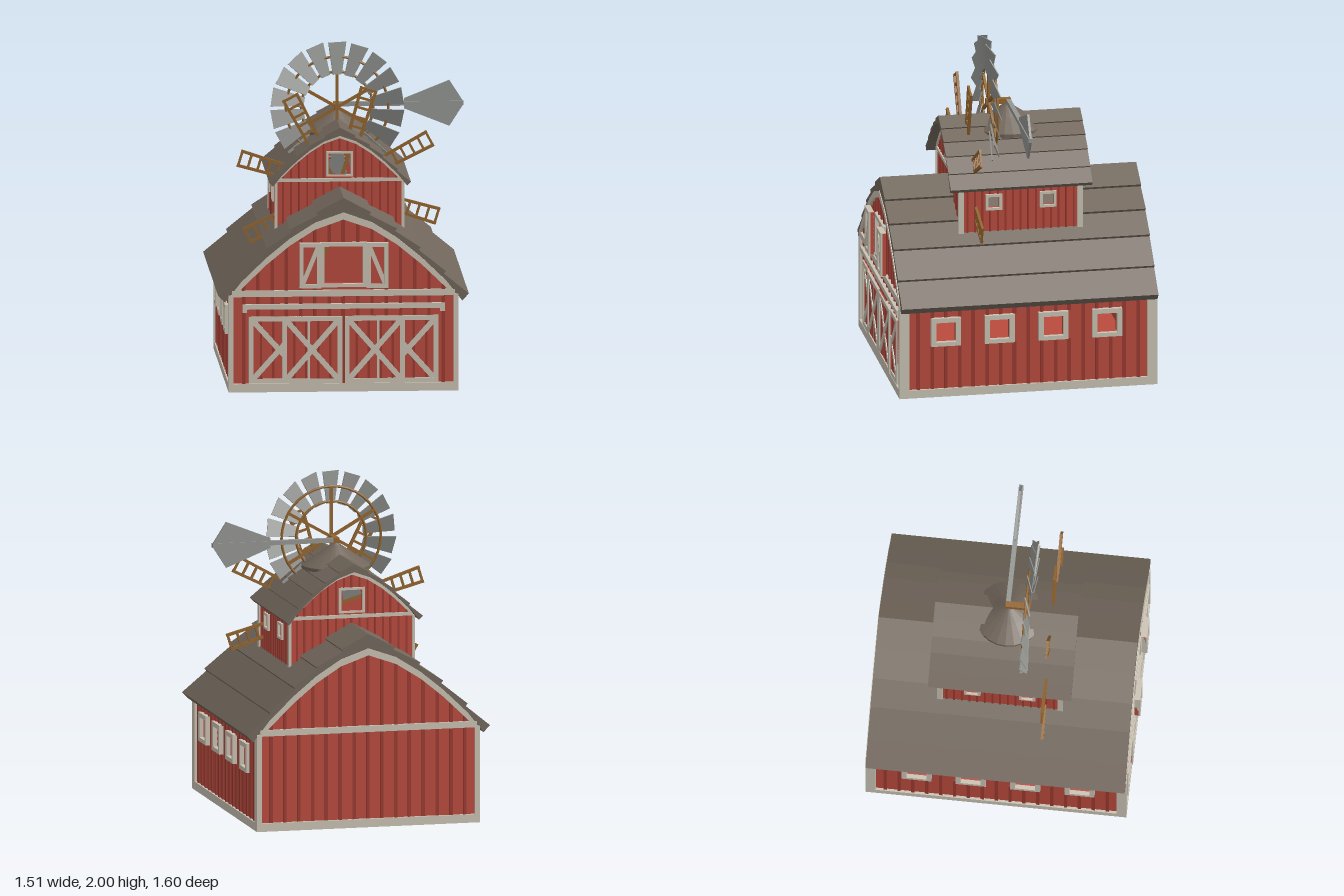
import * as THREE from 'three';

const mat = (name, color, side = THREE.FrontSide) => {
  const m = new THREE.MeshStandardMaterial({ color, side });
  m.name = name;
  return m;
};

export function createModel() {
  const red = mat('barn red', 0xb94a3d);
  const darkRed = mat('batten red', 0x98392f);
  const cream = mat('cream trim', 0xc9c2b3);
  const brown = mat('roof brown', 0x71665b, THREE.DoubleSide);
  const steel = mat('steel', 0x949692, THREE.DoubleSide);
  const wood = mat('wood', 0x93652f);

  // ---- helpers ----
  const add = (parent, name, geo, material) => {
    const m = new THREE.Mesh(geo, material);
    m.name = name;
    parent.add(m);
    return m;
  };
  const group = (parent, name, x = 0, y = 0, z = 0) => {
    const g = new THREE.Group();
    g.name = name;
    g.position.set(x, y, z);
    parent.add(g);
    return g;
  };
  // box given by its extents
  const box = (p, name, m, x0, x1, y0, y1, z0, z1) =>
    add(p, name, new THREE.BoxGeometry(x1 - x0, y1 - y0, z1 - z0)
      .translate((x0 + x1) / 2, (y0 + y1) / 2, (z0 + z1) / 2), m);
  const shapeOf = (pts) => new THREE.Shape(pts.map(([x, y]) => new THREE.Vector2(x, y)));
  const rect = (x0, x1, y0, y1) => [[x0, y0], [x1, y0], [x1, y1], [x0, y1]];
  const slab = (pts, holes, depth) => {
    const s = shapeOf(pts);
    holes.forEach((h) => s.holes.push(shapeOf(h)));
    return new THREE.ExtrudeGeometry(s, { depth, bevelEnabled: false });
  };
  // flat bar between two points of an xy plane
  const bar = (p, name, m, a, b, w, z0, z1) => {
    const dx = b[0] - a[0], dy = b[1] - a[1];
    const g = new THREE.BoxGeometry(Math.hypot(dx, dy), w, z1 - z0);
    g.rotateZ(Math.atan2(dy, dx)).translate((a[0] + b[0]) / 2, (a[1] + b[1]) / 2, (z0 + z1) / 2);
    return add(p, name, g, m);
  };
  const mirrored = (half) => [...half.map(([x, y]) => [-x, y]).reverse(), ...half.slice(1)];

  // ---- roof curve, ridge to eave ----
  const outer = [[0, 1.167], [0.165, 1.08], [0.32, 0.98], [0.46, 0.865], [0.61, 0.72], [0.747, 0.583]];
  const inner = [[0, 1.08], [0.17, 1.02], [0.32, 0.925], [0.46, 0.81], [0.61, 0.665], [0.707, 0.542]];
  const underside = (x) => {
    const a = Math.abs(x);
    const i = Math.max(1, inner.findIndex((q) => q[0] >= a));
    const [p, q] = [inner[i - 1], inner[i]];
    return p[1] + ((q[1] - p[1]) * (a - p[0])) / (q[0] - p[0]);
  };
  const W = 0.67;
  const archTo = (w, drop) => mirrored([...inner.filter((q) => q[0] < w), [w, underside(w)]].map(([x, y]) => [x, y - drop]));

  // ---- a barn body; the raised loft reuses it at a smaller scale ----
  function barn(parent, name, hz, windows, openings, isMain) {
    const b = group(parent, name);
    // stepped plank roof
    const steps = outer.flatMap(([x, y], i) => (i > 0 && i < 5 ? [[x, y], [x - 0.012, y - 0.015]] : [[x, y]]));
    add(b, 'roof', slab([...mirrored(steps), ...mirrored(inner).reverse()], [], 1.55).translate(0, 0, -0.775), brown);

    // gable ends
    [1, -1].forEach((side, k) => {
      const end = group(b, side > 0 ? 'frontGable' : 'backGable');
      if (side < 0) end.rotation.y = Math.PI;
      const open = openings[k];
      const hole = open ? [rect(-0.115, 0.115, 0.65, 0.875)] : [];
      add(end, 'gableWall', slab([[-W, 0.01], [W, 0.01], ...archTo(W, 0).reverse()], hole, 0.03)
        .translate(0, 0, hz - 0.05), red);
      const z0 = hz - 0.02;
      for (let i = -7; i <= 7; i++) {
        const x = i * 0.085, y1 = underside(x) - 0.035;
        box(end, 'batten', darkRed, x - 0.01, x + 0.01, 0.05, 0.58, z0, z0 + 0.008);
        if (y1 < 0.64) continue;
        if (open && Math.abs(x) < 0.14) box(end, 'batten', darkRed, x - 0.01, x + 0.01, 0.9, y1, z0, z0 + 0.008);
        else box(end, 'batten', darkRed, x - 0.01, x + 0.01, 0.6, y1, z0, z0 + 0.008);
      }
      add(end, 'archTrim', slab([...archTo(0.65, 0), ...archTo(0.65, 0.042).reverse()], [], 0.02).translate(0, 0, z0), cream);
      box(end, 'crossTrim', cream, -0.665, 0.665, 0.575, 0.612, z0, hz);
      if (open) {
        add(end, 'windowFrame', slab(rect(-0.14, 0.14, 0.63, 0.9), [rect(-0.115, 0.115, 0.65, 0.875)], 0.022)
          .translate(0, 0, z0), cream);
      }
      if (isMain) box(end, 'baseTrim', cream, -0.685, 0.685, 0, 0.05, z0, hz);
      [-1, 1].forEach((s) => {
        const x = s * 0.67;
        box(end, 'cornerTrim', cream, x - 0.015, x + 0.015, 0, 0.585, hz - 0.06, hz);
      });
    });

    // long side walls with framed windows
    [-1, 1].forEach((s) => {
      const sideWall = group(b, s > 0 ? 'leftSide' : 'rightSide');
      sideWall.rotation.y = s * Math.PI / 2;   // local z points outward
      const holes = windows.map((z) => rect(-s * z - 0.06, -s * z + 0.06, 0.345, 0.467));
      const d = hz - 0.03;
      add(sideWall, 'sideWall', slab(rect(-d, d, 0.01, 0.6), holes, 0.03).translate(0, 0, W - 0.03), red);
      windows.forEach((z) => add(sideWall, 'windowFrame',
        slab(rect(-s * z - 0.09, -s * z + 0.09, 0.32, 0.495), [rect(-s * z - 0.06, -s * z + 0.06, 0.345, 0.467)], 0.028)
          .translate(0, 0, W - 0.002), cream));
      const n = Math.floor((hz - 0.08) / 0.083);
      for (let i = -n; i <= n; i++) {
        const u = i * 0.083;
        const hit = windows.some((z) => Math.abs(u + s * z) < 0.1);
        (hit ? [[0.05, 0.32], [0.495, 0.58]] : [[0.05, 0.58]]).forEach(([a, c]) =>
          box(sideWall, 'batten', darkRed, u - 0.01, u + 0.01, a, c, W, W + 0.008));
      }
      if (isMain) box(sideWall, 'baseTrim', cream, -d, d, 0, 0.05, W, W + 0.015);
    });
    return b;
  }

  const model = new THREE.Group();
  model.name = 'windmillBarn';
  const cx = -0.005;

  // ---- main barn ----
  const main = barn(model, 'mainBarn', 0.78, [0.5, 0.175, -0.15, -0.475], [true, false], true);
  main.position.set(cx, 0, -0.02);
  box(main, 'floor', red, -0.68, 0.68, -0.0, 0.02, -0.775, 0.775);

  // ---- raised loft ----
  const loft = barn(model, 'raisedLoft', 0.68, [0.294, -0.3], [true, true], false);
  loft.scale.set(0.565, 0.565, 0.553);
  loft.position.set(cx, 0.871, -0.027);

  // ---- sliding doors: outer pair behind, inner pair in front ----
  const doors = group(model, 'slidingDoors', cx, 0, 0);
  const crossDoor = (x0, x1, z) => {
    const d = group(doors, 'slidingDoor', 0, 0, z);
    const y0 = 0.052, y1 = 0.455, t = 0.028;
    box(d, 'doorPanel', red, x0, x1, y0, y1, 0, 0.008);
    for (let i = 1; i < 5; i++) {
      const x = x0 + ((x1 - x0) * i) / 5;
      box(d, 'doorGroove', darkRed, x - 0.007, x + 0.007, y0, y1, 0.004, 0.01);
    }
    add(d, 'doorFrame', slab(rect(x0, x1, y0, y1), [rect(x0 + t, x1 - t, y0 + t, y1 - t)], 0.016), cream);
    bar(d, 'doorBrace', cream, [x0 + 0.025, y0 + 0.025], [x1 - 0.025, y1 - 0.025], 0.032, 0.006, 0.015);
    bar(d, 'doorBrace', cream, [x0 + 0.025, y1 - 0.025], [x1 - 0.025, y0 + 0.025], 0.032, 0.006, 0.014);
  };
  [-1, 1].forEach((s) => {
    const span = (a, c) => (s > 0 ? [a, c] : [-c, -a]);
    crossDoor(...span(0.2, 0.565), 0.742);
    crossDoor(...span(0.008, 0.365), 0.75);
    const [a, c] = span(0.575, 0.603);
    box(doors, 'railEnd', cream, a, c, 0.48, 0.51, 0.74, 0.76);
  });
  box(doors, 'doorRail', cream, -0.603, 0.603, 0.5, 0.53, 0.74, 0.765);

  // ---- open loft shutters ----
  [-1, 1].forEach((s) => {
    const sh = group(model, 'loftShutter', cx + s * 0.2, 0, 0.765);
    const h = 0.065;
    box(sh, 'shutterPanel', red, -h, h, 0.635, 0.9, 0, 0.022);
    add(sh, 'shutterFrame', slab(rect(-h, h, 0.63, 0.902), [rect(-h + 0.025, h - 0.025, 0.655, 0.877)], 0.034), cream);
    bar(sh, 'shutterBrace', cream, [-s * 0.045, 0.875], [s * 0.045, 0.655], 0.026, 0.02, 0.032);
  });

  // ---- ring of ladder sails around the raised loft ----
  const sails = group(model, 'ladderSails', cx, 1.145, 0.243);
  add(sails, 'sailHub', new THREE.CylinderGeometry(0.04, 0.04, 0.03, 12).rotateX(Math.PI / 2), wood);
  for (let k = 0; k < 8; k++) {
    const l = group(sails, 'ladderSail');
    l.rotation.z = THREE.MathUtils.degToRad(28 + 45 * k);
    box(l, 'sailSpoke', wood, 0, 0.32, -0.01, 0.01, -0.007, 0.007);
    [-1, 1].forEach((s) => bar(l, 'sailRail', wood, [0.31, s * 0.036], [0.62, s * 0.045], 0.017, -0.008, 0.008));
    for (let i = 0; i < 6; i++) {
      const x = 0.318 + i * 0.0588;
      box(l, 'sailRung', wood, x - 0.007, x + 0.007, -0.04, 0.04, -0.006, 0.006);
    }
  }

  // ---- roof cap under the wind wheel ----
  const cap = new THREE.LatheGeometry([[0, 1.6], [0.03, 1.575], [0.1, 1.525], [0.205, 1.455], [0.205, 1.435], [0, 1.42]]
    .map(([x, y]) => new THREE.Vector2(x, y)), 24).toNonIndexed();
  cap.computeVertexNormals();
  add(model, 'roofCap', cap, brown).position.set(cx, 0, -0.015);
  box(model, 'wheelPost', wood, cx - 0.015, cx + 0.015, 1.54, 1.6, -0.03, 0);
  box(model, 'wheelShaft', wood, cx - 0.018, cx + 0.018, 1.587, 1.617, -0.035, 0.115);

  // ---- wind wheel ----
  const wheel = group(model, 'windWheel', cx, 1.602, 0.11);
  const R = (r) => add(wheel, 'wheelRing', new THREE.TorusGeometry(r, 0.008, 6, 36), wood).position.set(0, 0, -0.014);
  R(0.305);
  R(0.215);
  for (let k = 0; k < 6; k++) {
    const a = Math.PI / 6 + (k * Math.PI) / 3;
    bar(wheel, 'wheelSpoke', wood, [0, 0], [0.305 * Math.cos(a), 0.305 * Math.sin(a)], 0.018, -0.022, -0.006);
  }
  const bladeGeo = slab([[-0.029, 0.2], [0.029, 0.2], [0.058, 0.395], [-0.058, 0.395]], [], 0.006).translate(0, 0, -0.003);
  bladeGeo.rotateY(0.35);
  for (let k = 0; k < 18; k++) add(wheel, 'wheelBlade', bladeGeo, steel).rotation.z = (k * Math.PI) / 9;

  // ---- tail vane ----
  const tail = group(model, 'tailVane', 0, 1.602, -0.02);
  box(tail, 'tailRod', steel, 0.01, 0.755, -0.013, 0.013, -0.014, 0.014);
  add(tail, 'tailFin', slab([[0.4, -0.03], [0.67, -0.138], [0.752, -0.01], [0.752, 0.01], [0.67, 0.138], [0.4, 0.03]], [], 0.014)
    .translate(0, 0, -0.007), steel);

  return model;
}
